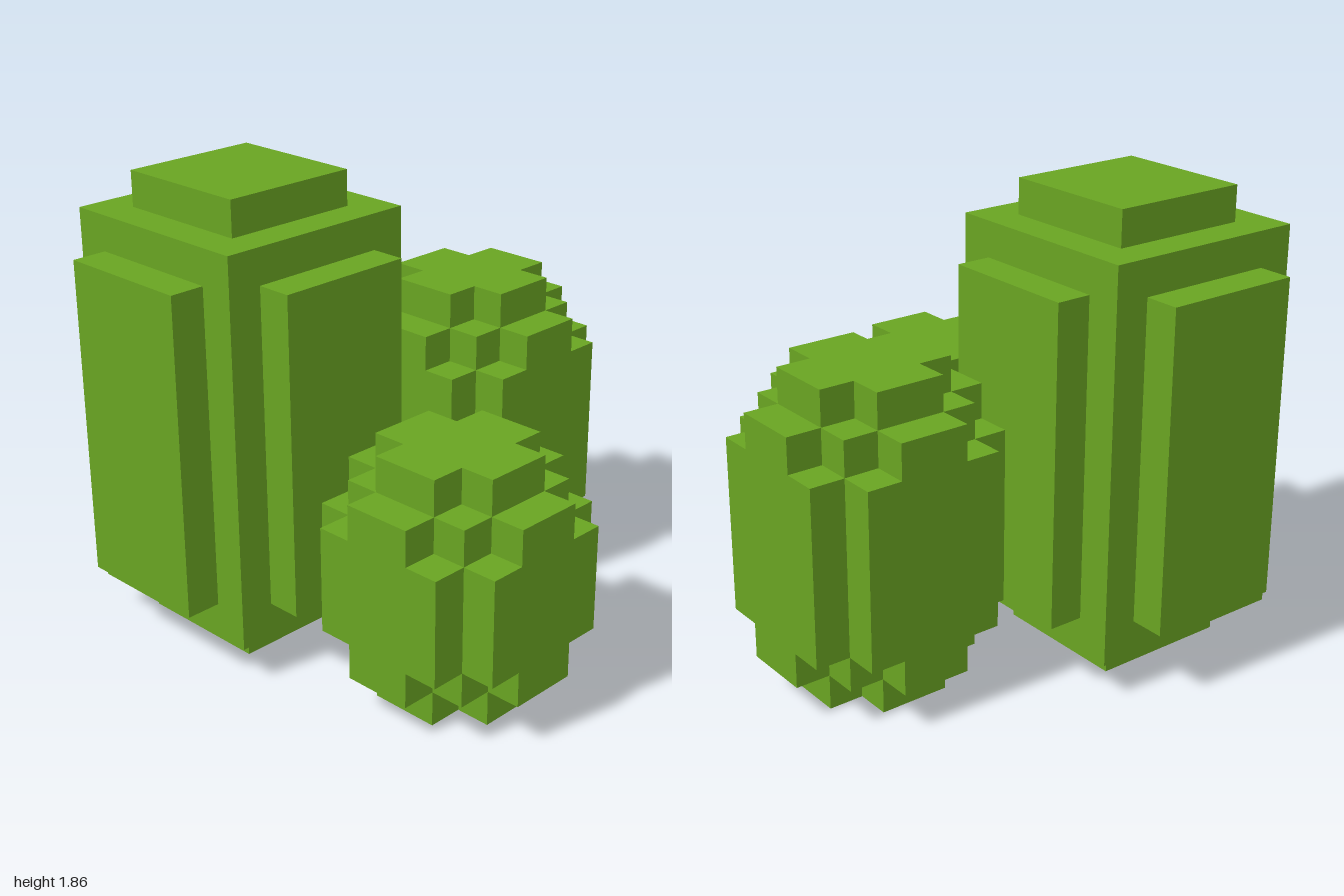
import * as THREE from 'three';

const U = 1 / 7; // one block unit

// Quarter outlines of the stepped layers, in units, going counter-clockwise
const TIP = [[2, 1], [1, 1], [1, 2]];
const SHOULDER = [[3, 1], [2, 1], [2, 2], [1, 2], [1, 3]];
const BODY = [[3, 2], [2, 2], [2, 3]];

export function createModel() {
  const green = new THREE.MeshStandardMaterial({ color: 0x69a422 });
  green.name = 'cactusGreen';

  const addBox = (parent, name, size, pos) => {
    const mesh = new THREE.Mesh(new THREE.BoxGeometry(...size.map(v => v * U)), green);
    mesh.position.set(...pos.map(v => v * U));
    mesh.name = name;
    parent.add(mesh);
  };

  // One horizontal layer: the quarter outline turned four times, then extruded up
  const addLayer = (parent, name, quarter, y0, y1) => {
    const points = [];
    for (let turn = 0; turn < 4; turn++) {
      for (const [x, y] of quarter) {
        const p = [[x, y], [-y, x], [-x, -y], [y, -x]][turn];
        points.push(new THREE.Vector2(p[0] * U, p[1] * U));
      }
    }
    const geometry = new THREE.ExtrudeGeometry(new THREE.Shape(points), {
      depth: (y1 - y0) * U, bevelEnabled: false,
    });
    geometry.rotateX(-Math.PI / 2);
    geometry.translate(0, y0 * U, 0);
    const mesh = new THREE.Mesh(geometry, green);
    mesh.name = name;
    parent.add(mesh);
  };

  // Round stepped cactus, mirrored top and bottom
  const roundCactus = (name, x, z, height) => {
    const g = new THREE.Group();
    g.name = name;
    g.position.set(x * U, 0, z * U);
    addLayer(g, 'base', TIP, 0, 1);
    addLayer(g, 'lowerShoulder', SHOULDER, 1, 2);
    addLayer(g, 'body', BODY, 2, height - 2);
    addLayer(g, 'upperShoulder', SHOULDER, height - 2, height - 1);
    addLayer(g, 'crown', TIP, height - 1, height);
    return g;
  };

  // Tall square cactus with a raised panel on each side
  const tall = new THREE.Group();
  tall.name = 'tallCactus';
  tall.position.set(-3 * U, 0, -3 * U);
  addBox(tall, 'trunk', [6, 11, 6], [0, 6.5, 0]);
  addBox(tall, 'base', [4, 1, 4], [0, 0.5, 0]);
  addBox(tall, 'crown', [4, 1, 4], [0, 12.5, 0]);
  for (const s of [-1, 1]) {
    addBox(tall, 'sidePanel', [1, 9, 4], [s * 3.5, 6.5, 0]);
    addBox(tall, 'facePanel', [4, 9, 1], [0, 6.5, s * 3.5]);
  }

  const model = new THREE.Group();
  model.name = 'cactusCluster';
  model.add(
    tall,
    roundCactus('mediumCactus', 4, -1, 9),
    roundCactus('smallCactus', -2, 4, 7),
  );
  return model;
}
